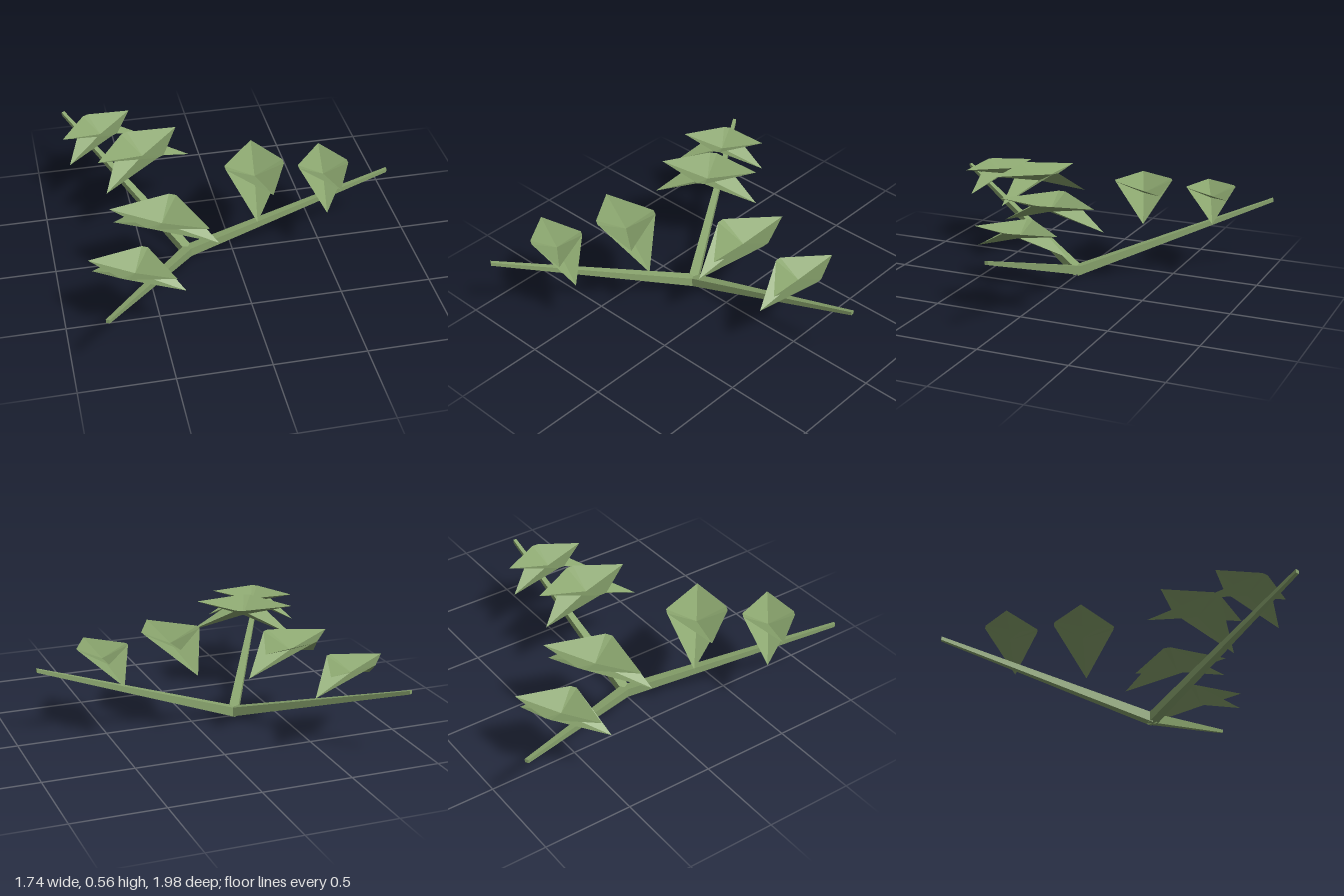
import * as THREE from 'three';

const leafGreen = new THREE.MeshStandardMaterial({ color: 0x8aa56e, side: THREE.DoubleSide, flatShading: true });
leafGreen.name = 'leafGreen';

// Folded leaf pair: the blade runs across the branch, with blunt ends along it
function leafGeometry(tipX, tipY, tipZ) {
  const centre = [0, -0.075, 0];
  const rim = [
    [-0.165, 0, -0.02], [-0.165, 0, 0.02], [tipX, tipY, tipZ],
    [0.16, 0, 0.02], [0.16, 0, -0.02], [tipX, tipY, -tipZ],
  ];
  const points = [];
  rim.forEach((p, i) => points.push(...centre, ...p, ...rim[(i + 1) % rim.length]));
  const geometry = new THREE.BufferGeometry();
  geometry.setAttribute('position', new THREE.Float32BufferAttribute(points, 3));
  geometry.computeVertexNormals();
  return geometry;
}

// Square tapering twig from the root outward along +x
function twigGeometry(length, rise, rootHalf, tipHalf) {
  const geometry = new THREE.BoxGeometry(1, 2, 2);
  const pos = geometry.attributes.position;
  for (let i = 0; i < pos.count; i++) {
    const t = pos.getX(i) + 0.5;
    const half = THREE.MathUtils.lerp(rootHalf, tipHalf, t);
    pos.setXYZ(i, t * length, 0.027 + t * rise + pos.getY(i) * half, pos.getZ(i) * half);
  }
  geometry.computeVertexNormals();
  return geometry;
}

export function createModel() {
  const model = new THREE.Group();
  model.name = 'plant';
  const twig = twigGeometry(1.135, 0.39, 0.027, 0.01);
  const upper = leafGeometry(0.04, -0.02, 0.278);
  const lower = leafGeometry(-0.05, -0.17, 0.298);

  // Three equal branches around the root
  for (let i = 0; i < 3; i++) {
    const branch = new THREE.Group();
    branch.name = 'branch' + (i + 1);
    branch.position.x = -0.255;
    branch.rotation.y = (i * Math.PI * 2) / 3;

    const stem = new THREE.Mesh(twig, leafGreen);
    stem.name = 'twig';
    branch.add(stem);

    // Large inner cluster and smaller outer cluster
    [[0.38, 0.555, 1], [0.77, 0.505, 0.86]].forEach(([x, y, size], k) => {
      const cluster = new THREE.Group();
      cluster.name = k ? 'outerLeaves' : 'innerLeaves';
      cluster.position.set(x, y, 0);
      cluster.scale.setScalar(size);
      const top = new THREE.Mesh(upper, leafGreen);
      top.name = 'upperLeaf';
      const bottom = new THREE.Mesh(lower, leafGreen);
      bottom.name = 'lowerLeaf';
      cluster.add(top, bottom);
      branch.add(cluster);
    });
    model.add(branch);
  }
  return model;
}
